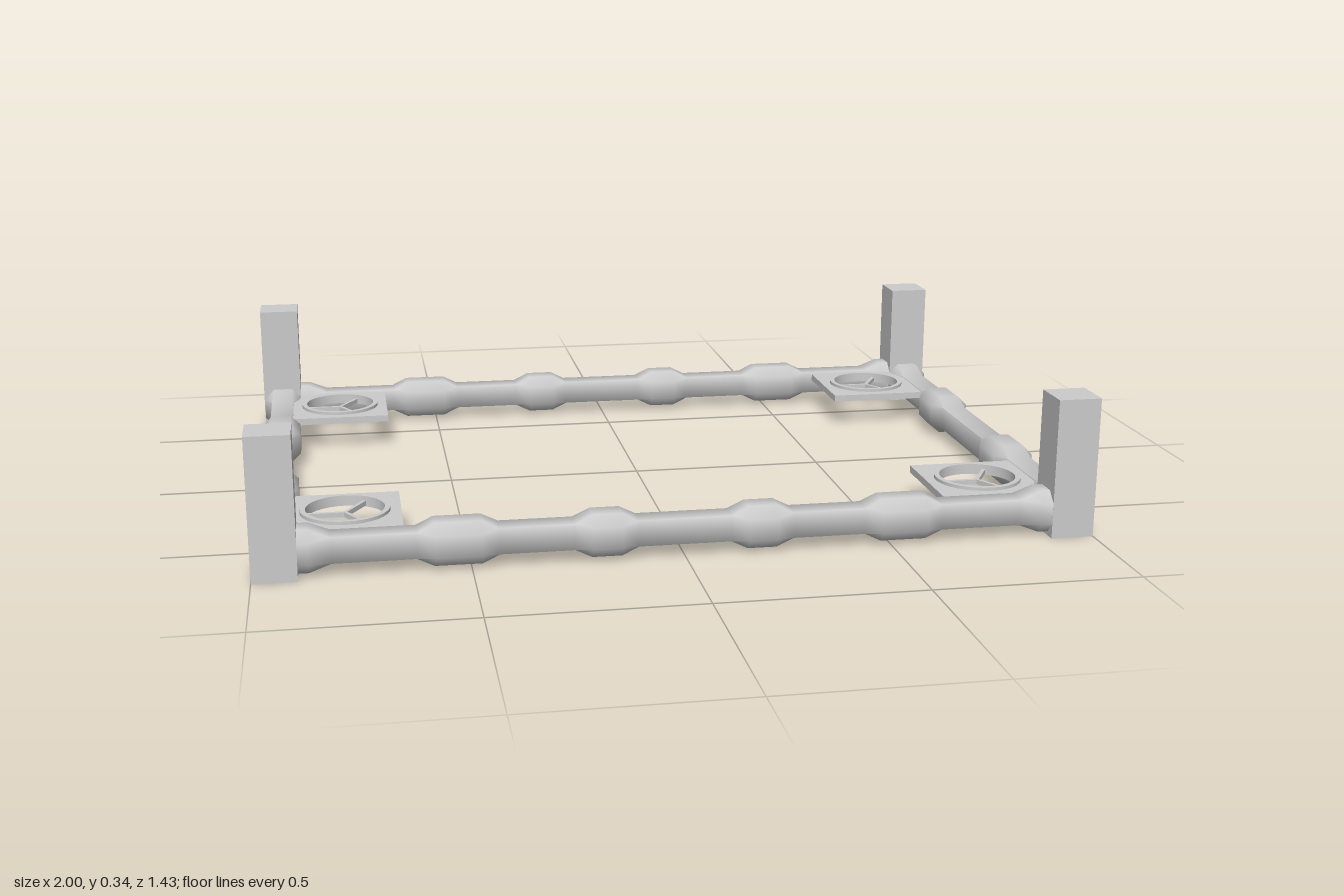
import * as THREE from 'three';
import { toCreasedNormals } from 'three/addons/utils/BufferGeometryUtils.js';

const material = new THREE.MeshStandardMaterial({ color: 0xcccccc });
const THIN = 0.031, THICK = 0.052, BAR_Y = 0.062;

function addMesh(parent, name, geometry, x, y, z) {
  const mesh = new THREE.Mesh(geometry, material);
  mesh.name = name;
  mesh.position.set(x, y, z);
  parent.add(mesh);
  return mesh;
}

// Loft along x: square section on the thin runs, chamfered on the swellings
function railGeometry(stations) {
  const positions = [], index = [];
  for (const [x, r] of stations) {
    const c = r * (r > THIN ? 0.5 : 0.999);
    const ring = [[r, c], [c, r], [-c, r], [-r, c], [-r, -c], [-c, -r], [c, -r], [r, -c]];
    for (const [z, y] of ring) positions.push(x, y, z);
  }
  for (let s = 0; s < stations.length - 1; s++) {
    for (let k = 0; k < 8; k++) {
      const a = s * 8 + k, b = s * 8 + (k + 1) % 8;
      index.push(a, a + 8, b, b, a + 8, b + 8);
    }
  }
  const geometry = new THREE.BufferGeometry();
  geometry.setAttribute('position', new THREE.Float32BufferAttribute(positions, 3));
  geometry.setIndex(index);
  return toCreasedNormals(geometry, 0.9);
}

// Each swelling is [centre, half length, half length of its full-width middle]
function railStations(half, flareStart, flareFull, swellings) {
  const right = [];
  for (const [c, l, m] of swellings) {
    right.push([c - l, THIN], [c - m, THICK], [c + m, THICK], [c + l, THIN]);
  }
  right.push([flareStart, THIN], [flareFull, THICK], [half, THICK]);
  const left = right.map(([x, r]) => [-x, r]).reverse();
  return [...left, ...right];
}

// Square plate with a round hole
function plateGeometry() {
  const h = 0.132;
  const shape = new THREE.Shape();
  shape.moveTo(-h, -h).lineTo(h, -h).lineTo(h, h).lineTo(-h, h).closePath();
  const hole = new THREE.Path();
  hole.absarc(0, 0, 0.1, 0, Math.PI * 2, true);
  shape.holes.push(hole);
  const geometry = new THREE.ExtrudeGeometry(shape, { depth: 0.018, bevelEnabled: false, curveSegments: 20 });
  return geometry.rotateX(-Math.PI / 2);
}

// Thin ring lining the hole
function ringGeometry() {
  const profile = [[0.094, 0], [0.107, 0], [0.107, 0.026], [0.094, 0.026], [0.094, 0]];
  const points = profile.map(([x, y]) => new THREE.Vector2(x, y));
  return toCreasedNormals(new THREE.LatheGeometry(points, 32), 0.6);
}

export function createModel() {
  const model = new THREE.Group();
  model.name = 'frame';

  const longRail = railGeometry(railStations(0.92, 0.82, 0.87, [[0.185, 0.075, 0.035], [0.53, 0.095, 0.055]]));
  const shortRail = railGeometry(railStations(0.64, 0.54, 0.585, [[0.255, 0.097, 0.053]]));
  const post = new THREE.BoxGeometry(0.105, 0.345, 0.105);
  const plate = plateGeometry();
  const ring = ringGeometry();
  const spoke = new THREE.BoxGeometry(0.098, 0.012, 0.009).translate(0.049, 0, 0);

  // Rails along the four sides
  for (const s of [-1, 1]) {
    addMesh(model, s > 0 ? 'frontRail' : 'backRail', longRail, 0, BAR_Y, s * 0.661);
    addMesh(model, s > 0 ? 'leftRail' : 'rightRail', shortRail, s * 0.946, BAR_Y, 0).rotation.y = Math.PI / 2;
  }

  // Posts and holed plates at the corners
  for (const sx of [-1, 1]) {
    for (const sz of [-1, 1]) {
      addMesh(model, 'cornerPost', post, sx * 0.9475, 0.1725, sz * 0.661);

      const mount = new THREE.Group();
      mount.name = 'cornerPlate';
      mount.position.set(sx * 0.783, 0.072, sz * 0.489);
      addMesh(mount, 'plate', plate, 0, 0, 0);
      addMesh(mount, 'ring', ring, 0, 0, 0);
      for (let i = 0; i < 3; i++) {
        addMesh(mount, 'spoke', spoke, 0, 0.009, 0).rotation.y = Math.PI + i * Math.PI * 2 / 3;
      }
      model.add(mount);
    }
  }
  return model;
}
